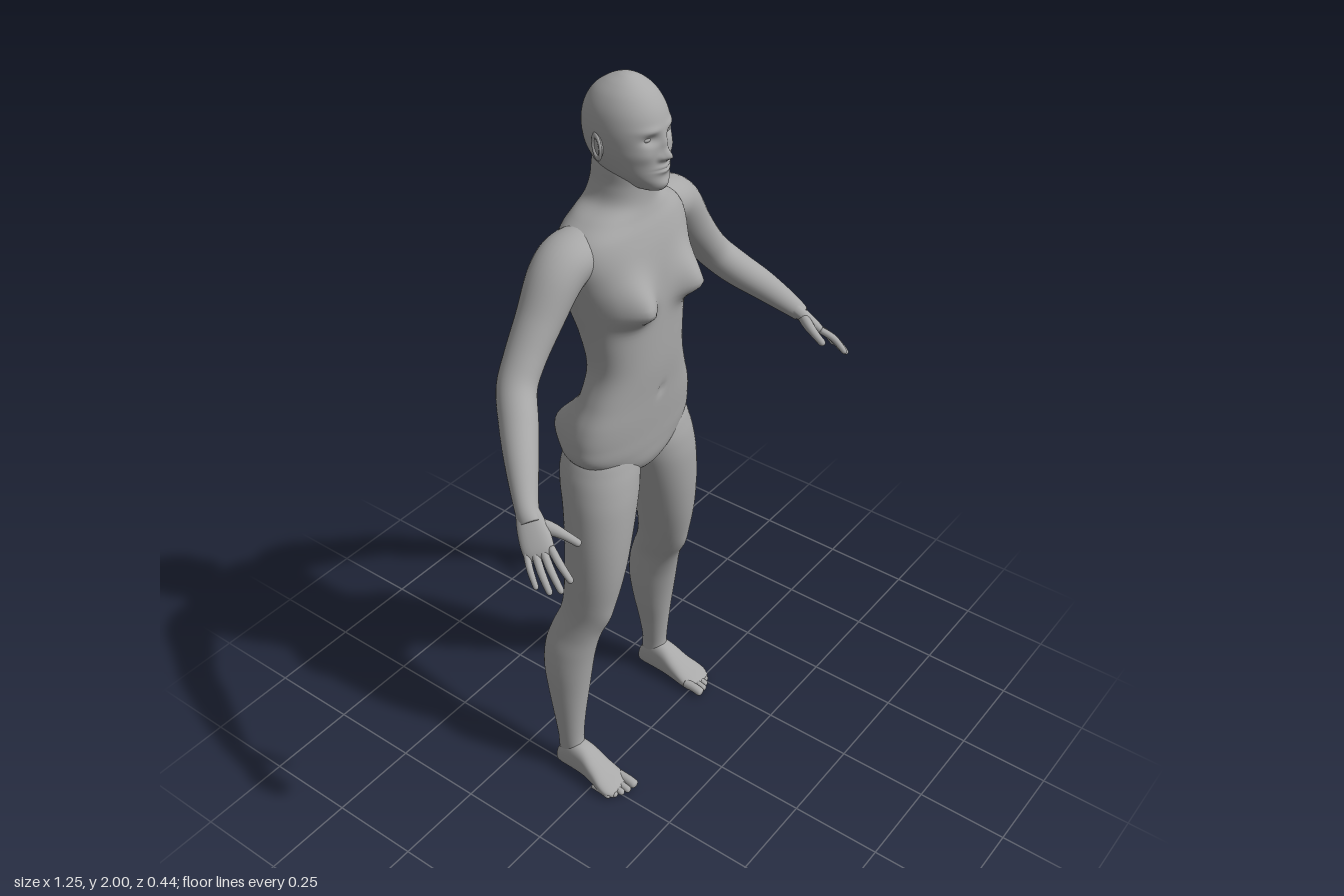
import * as THREE from 'three';

const skinMat = new THREE.MeshStandardMaterial({ color: 0xa8a8a8 });
skinMat.name = 'plain grey';

// Smooth interpolation through rows of numbers, t in 0..1
function sample(rows, t) {
  const f = t * (rows.length - 1), i = Math.min(Math.floor(f), rows.length - 2), u = f - i;
  const at = (j) => rows[Math.max(0, Math.min(rows.length - 1, j))];
  return rows[i].map((_, k) => {
    const a = at(i - 1)[k], b = at(i)[k], c = at(i + 1)[k], d = at(i + 2)[k];
    return b + 0.5 * u * (c - a + u * (2 * a - 5 * b + 4 * c - d + u * (3 * (b - c) + d - a)));
  });
}

// Super-ellipse ring around a centre, s and n being its two axes
function ring(center, s, n, a, b, segs, power) {
  const pw = (v) => Math.sign(v) * Math.pow(Math.abs(v), 2 / power);
  return Array.from({ length: segs }, (_, i) => {
    const q = (i / segs) * Math.PI * 2;
    return center.clone().addScaledVector(s, a * pw(Math.cos(q))).addScaledVector(n, b * pw(Math.sin(q)));
  });
}

// Closed skin over a list of rings, with an optional rule that moves each point
function skin(name, rings, warp) {
  const m = rings[0].length, pos = [], idx = [];
  const centre = (r) => r.reduce((c, p) => c.add(p), new THREE.Vector3()).divideScalar(m);
  const ends = [centre(rings[0]), centre(rings[rings.length - 1])];
  for (const p of [...rings.flat(), ...ends]) {
    if (warp) warp(p);
    pos.push(p.x, p.y, p.z);
  }
  const last = (rings.length - 1) * m, c0 = rings.length * m;
  for (let i = 0; i < m; i++) {
    const j = (i + 1) % m;
    for (let r = 0; r < last; r += m) idx.push(r + i, r + m + i, r + j, r + j, r + m + i, r + m + j);
    idx.push(c0, i, j, c0 + 1, last + j, last + i);
  }
  const g = new THREE.BufferGeometry();
  g.setAttribute('position', new THREE.Float32BufferAttribute(pos, 3));
  g.setIndex(idx);
  g.computeVertexNormals();
  const mesh = new THREE.Mesh(g, skinMat);
  mesh.name = name;
  return mesh;
}

// Upright form from rows of [y, centre x, centre z, half width, half depth], bottom to top
const X = new THREE.Vector3(1, 0, 0), Z = new THREE.Vector3(0, 0, 1);
function stack(name, rows, { steps = 60, segs = 40, power = 2, warp } = {}) {
  const rings = [];
  for (let i = 0; i <= steps; i++) {
    const [y, x, z, a, b] = sample(rows, i / steps);
    rings.push(ring(new THREE.Vector3(x, y, z), X, Z, Math.max(a, 0.001), Math.max(b, 0.001), segs, power));
  }
  return skin(name, rings, warp);
}

// Limb along rows of [x, y, z, radius along side, radius across]; cap rounds off the far end
function tube(name, rows, side, { steps = 30, segs = 24, power = 2, cap = 0, axis } = {}) {
  const rings = [];
  const point = (t) => new THREE.Vector3(...sample(rows, t).slice(0, 3));
  for (let i = 0; i <= steps; i++) {
    const t = 1 - Math.pow(1 - i / steps, cap ? 1.6 : 1);
    const [x, y, z, a, b] = sample(rows, t);
    const dir = axis || point(Math.min(1, t + 0.01)).sub(point(Math.max(0, t - 0.01))).normalize();
    const s = side.clone().addScaledVector(dir, -side.dot(dir)).normalize();
    const n = s.clone().cross(dir);
    const u = cap ? Math.max(0, (t - 1 + cap) / cap) : 0;
    const k = Math.max(0.02, Math.sqrt(1 - u * u));
    rings.push(ring(new THREE.Vector3(x, y, z), s, n, a * k, b * k, segs, power));
  }
  return skin(name, rings, null);
}

// Soft bump, 1 at its centre
const bump = (x, y, cx, cy, sx, sy) => Math.exp(-(((x - cx) / sx) ** 2) - ((y - cy) / sy) ** 2);
// [y, half width, back z, front z] to stack rows
const profile = (rows) => rows.map(([y, w, b, f]) => [y, 0, (b + f) / 2, w, (f - b) / 2]);

function makeTorso() {
  const rows = profile([
    [0.95, 0.015, -0.11, -0.05], [0.965, 0.06, -0.145, -0.005], [1.0, 0.14, -0.165, 0.017],
    [1.05, 0.2, -0.168, 0.024], [1.1, 0.205, -0.165, 0.028], [1.15, 0.194, -0.155, 0.032],
    [1.21, 0.168, -0.138, 0.036], [1.29, 0.143, -0.132, 0.042], [1.38, 0.15, -0.152, 0.043],
    [1.46, 0.167, -0.178, 0.042], [1.54, 0.185, -0.19, 0.036], [1.6, 0.192, -0.19, 0.026],
    [1.645, 0.175, -0.182, 0.014], [1.68, 0.13, -0.17, 0.002], [1.71, 0.085, -0.16, -0.004],
    [1.75, 0.07, -0.15, -0.004], [1.79, 0.066, -0.146, 0.0], [1.83, 0.06, -0.14, 0.0],
  ]);
  return stack('torso', rows, {
    steps: 110, segs: 128, power: 2.3,
    warp: (p) => {
      const x = Math.abs(p.x), y = p.y, front = THREE.MathUtils.smoothstep(p.z, -0.05, 0.0);
      const back = THREE.MathUtils.smoothstep(-p.z, 0.07, 0.13);
      // chest, navel
      p.z += front * (0.055 * bump(x, y, 0.098, 1.478, 0.05, y < 1.478 ? 0.036 : 0.068)
        + 0.004 * bump(x, y, 0.104, 1.482, 0.008, 0.008)
        - 0.006 * bump(x, y, 0, 1.21, 0.012, 0.014));
      // buttocks with cleft, shoulder blades, spine groove
      p.z -= back * (0.066 * bump(x, y, 0.09, 1.065, 0.07, 0.072)
        - 0.028 * bump(x, y, 0, 1.06, 0.02, 0.06)
        + 0.014 * bump(x, y, 0.09, 1.56, 0.05, 0.09)
        - 0.014 * bump(x, y, 0, 1.4, 0.03, 0.2));
    },
  });
}

function makeHead() {
  const head = new THREE.Group();
  head.name = 'head';
  const rows = profile([
    [1.745, 0.012, -0.04, 0.025], [1.752, 0.032, -0.065, 0.038], [1.77, 0.05, -0.1, 0.043],
    [1.79, 0.066, -0.135, 0.042], [1.82, 0.078, -0.156, 0.04], [1.85, 0.085, -0.167, 0.04],
    [1.89, 0.087, -0.171, 0.039], [1.93, 0.08, -0.162, 0.027], [1.962, 0.064, -0.142, 0.006],
    [1.984, 0.042, -0.113, -0.02], [1.997, 0.018, -0.083, -0.045], [2.0, 0.002, -0.066, -0.062],
  ]);
  head.add(stack('skull and face', rows, {
    steps: 130, segs: 128, power: 2.1,
    warp: (p) => {
      const x = Math.abs(p.x), y = p.y;
      if (p.z < -0.04) return;
      p.z += 0.007 * bump(x, y, 0, 1.86, 0.01, 0.022) + 0.021 * bump(x, y, 0, 1.835, 0.011, 0.012)
        + 0.007 * bump(x, y, 0.014, 1.832, 0.007, 0.008)
        - 0.011 * bump(x, y, 0.034, 1.877, 0.018, 0.011) + 0.004 * bump(x, y, 0.035, 1.898, 0.025, 0.008)
        + 0.004 * bump(x, y, 0.05, 1.84, 0.02, 0.018) + 0.009 * bump(x, y, 0, 1.803, 0.022, 0.01)
        - 0.006 * bump(x, y, 0, 1.804, 0.022, 0.003) + 0.004 * bump(x, y, 0, 1.765, 0.02, 0.011);
    },
  }));
  for (const k of [1, -1]) {
    const eye = new THREE.Mesh(new THREE.SphereGeometry(1, 20, 14), skinMat);
    eye.name = 'eye';
    eye.scale.set(0.014, 0.0075, 0.011);
    eye.position.set(k * 0.034, 1.877, 0.014);
    // ear: shell with a raised rim
    const ear = new THREE.Group();
    ear.name = 'ear';
    const shell = new THREE.Mesh(new THREE.SphereGeometry(0.014, 16, 12), skinMat);
    shell.scale.set(0.5, 1.9, 1);
    const rim = new THREE.Mesh(new THREE.TorusGeometry(0.014, 0.0038, 8, 24), skinMat);
    rim.rotation.y = Math.PI / 2;
    rim.scale.y = 1.9;
    rim.position.x = k * 0.005;
    ear.add(shell, rim);
    ear.position.set(k * 0.087, 1.855, -0.075);
    ear.rotation.set(-0.12, k * 0.3, 0);
    head.add(eye, ear);
  }
  return head;
}

function makeArm(k) {
  const arm = new THREE.Group();
  arm.name = k > 0 ? 'leftArm' : 'rightArm';
  const flip = (rows) => rows.map(([x, ...r]) => [k * x, ...r]);
  arm.add(tube('upper arm and forearm', flip([
    [0.08, 1.62, -0.09, 0.05, 0.045], [0.165, 1.612, -0.098, 0.07, 0.058], [0.225, 1.58, -0.1, 0.067, 0.061],
    [0.29, 1.495, -0.1, 0.056, 0.053], [0.345, 1.425, -0.098, 0.05, 0.047], [0.388, 1.37, -0.088, 0.048, 0.045],
    [0.432, 1.315, -0.048, 0.046, 0.044], [0.482, 1.26, 0.0, 0.039, 0.039], [0.535, 1.195, 0.055, 0.028, 0.029],
    [0.552, 1.168, 0.08, 0.028, 0.022],
  ]), Z, { steps: 60, segs: 32 }));

  // hand
  const across = new THREE.Vector3(-0.55 * k, 0.25, 0.8).normalize();
  arm.add(tube('palm', flip([
    [0.536, 1.195, 0.055, 0.024, 0.02], [0.553, 1.165, 0.083, 0.034, 0.018],
    [0.57, 1.135, 0.112, 0.038, 0.015], [0.583, 1.11, 0.134, 0.034, 0.011],
  ]), across, { cap: 0.25, power: 2.4 }));
  const tips = [[0.575, 1.08, 0.215], [0.6, 1.062, 0.207], [0.614, 1.056, 0.185], [0.622, 1.06, 0.152]];
  tips.forEach(([x, y, z], i) => {
    const o = 0.028 - i * 0.0187; // knuckles run from index to little finger
    const a = [0.574 - 0.55 * o, 1.127 + 0.25 * o, 0.12 + 0.8 * o];
    const mid = [(a[0] + x) / 2 + 0.005, (a[1] + y) / 2 + 0.006, (a[2] + z) / 2];
    const r = i === 3 ? 0.008 : 0.0095;
    arm.add(tube('finger', flip([[...a, r, r], [...mid, r, r], [x, y, z, r * 0.8, r * 0.8]]), across,
      { steps: 18, segs: 12, cap: 0.14 }));
  });
  arm.add(tube('thumb', flip([
    [0.548, 1.17, 0.085, 0.016, 0.014], [0.53, 1.158, 0.118, 0.016, 0.014],
    [0.517, 1.145, 0.15, 0.011, 0.011], [0.507, 1.13, 0.186, 0.009, 0.009],
  ]), across, { steps: 24, segs: 14, cap: 0.1 }));
  return arm;
}

function makeLeg(k) {
  const leg = new THREE.Group();
  leg.name = k > 0 ? 'leftLeg' : 'rightLeg';
  // the right leg stands a little further forward and outward
  const px = (x, y) => (k > 0 ? x : -x - 0.02 * (1 - y));
  const pz = (z, y) => (k > 0 ? z : z + 0.06 * Math.max(0, 1 - y));
  // [y, inner x, outer x, back z, front z]
  const rows = [
    [0.035, 0.192, 0.248, -0.192, -0.11], [0.08, 0.19, 0.25, -0.192, -0.112], [0.12, 0.188, 0.253, -0.19, -0.115],
    [0.2, 0.177, 0.258, -0.2, -0.107], [0.28, 0.162, 0.263, -0.212, -0.096], [0.36, 0.152, 0.265, -0.222, -0.083],
    [0.43, 0.149, 0.257, -0.218, -0.07], [0.49, 0.145, 0.242, -0.2, -0.055], [0.55, 0.13, 0.232, -0.175, -0.035],
    [0.61, 0.115, 0.23, -0.163, -0.012], [0.7, 0.09, 0.232, -0.157, 0.008], [0.8, 0.063, 0.231, -0.155, 0.02],
    [0.9, 0.033, 0.226, -0.162, 0.025], [0.96, 0.014, 0.22, -0.173, 0.023], [1.01, 0.006, 0.21, -0.175, 0.016],
    [1.06, 0.02, 0.19, -0.16, 0.0], [1.1, 0.05, 0.15, -0.13, -0.04],
  ].map(([y, i, o, b, f]) => [y, px((i + o) / 2, y), pz((b + f) / 2, y), (o - i) / 2, (f - b) / 2]);
  leg.add(stack('thigh and calf', rows, {
    steps: 90, segs: 48, power: 2.1,
    // kneecap
    warp: (p) => { if (p.z > -0.07) p.z += 0.008 * bump(p.x, p.y, px(0.182, 0.56), 0.56, 0.03, 0.035); },
  }));

  // foot: [centre x, z, half width, height]
  leg.add(tube('foot', [
    [0.22, -0.203, 0.006, 0.03], [0.22, -0.196, 0.022, 0.055], [0.22, -0.175, 0.031, 0.085],
    [0.22, -0.14, 0.034, 0.105], [0.22, -0.1, 0.036, 0.098], [0.222, -0.06, 0.041, 0.07],
    [0.225, -0.025, 0.047, 0.048], [0.225, 0.0, 0.046, 0.034], [0.222, 0.018, 0.036, 0.022],
  ].map(([x, z, w, h]) => [px(x, 0), h / 2, pz(z, 0), w, h / 2]), X, { steps: 40, segs: 36, power: 2.5, axis: Z }));
  const toes = [[0.19, 0.046, 0.0135], [0.213, 0.042, 0.0098], [0.231, 0.034, 0.0095], [0.248, 0.024, 0.009], [0.263, 0.011, 0.0085]];
  toes.forEach(([x, z, r]) => {
    leg.add(tube('toe', [
      [px(x, 0), r + 0.008, pz(z - 0.06, 0), r, r], [px(x, 0), r + 0.006, pz(z - 0.025, 0), r, r],
      [px(x, 0), r, pz(z, 0), r, r * 0.95],
    ], X, { steps: 18, segs: 14, cap: 0.22 }));
  });
  return leg;
}

export function createModel() {
  const figure = new THREE.Group();
  figure.name = 'figure';
  const core = new THREE.Group();
  core.name = 'trunk';
  core.position.x = -0.006;
  core.add(makeTorso(), makeHead());
  figure.add(core);
  for (const k of [1, -1]) figure.add(makeArm(k), makeLeg(k));
  return figure;
}
